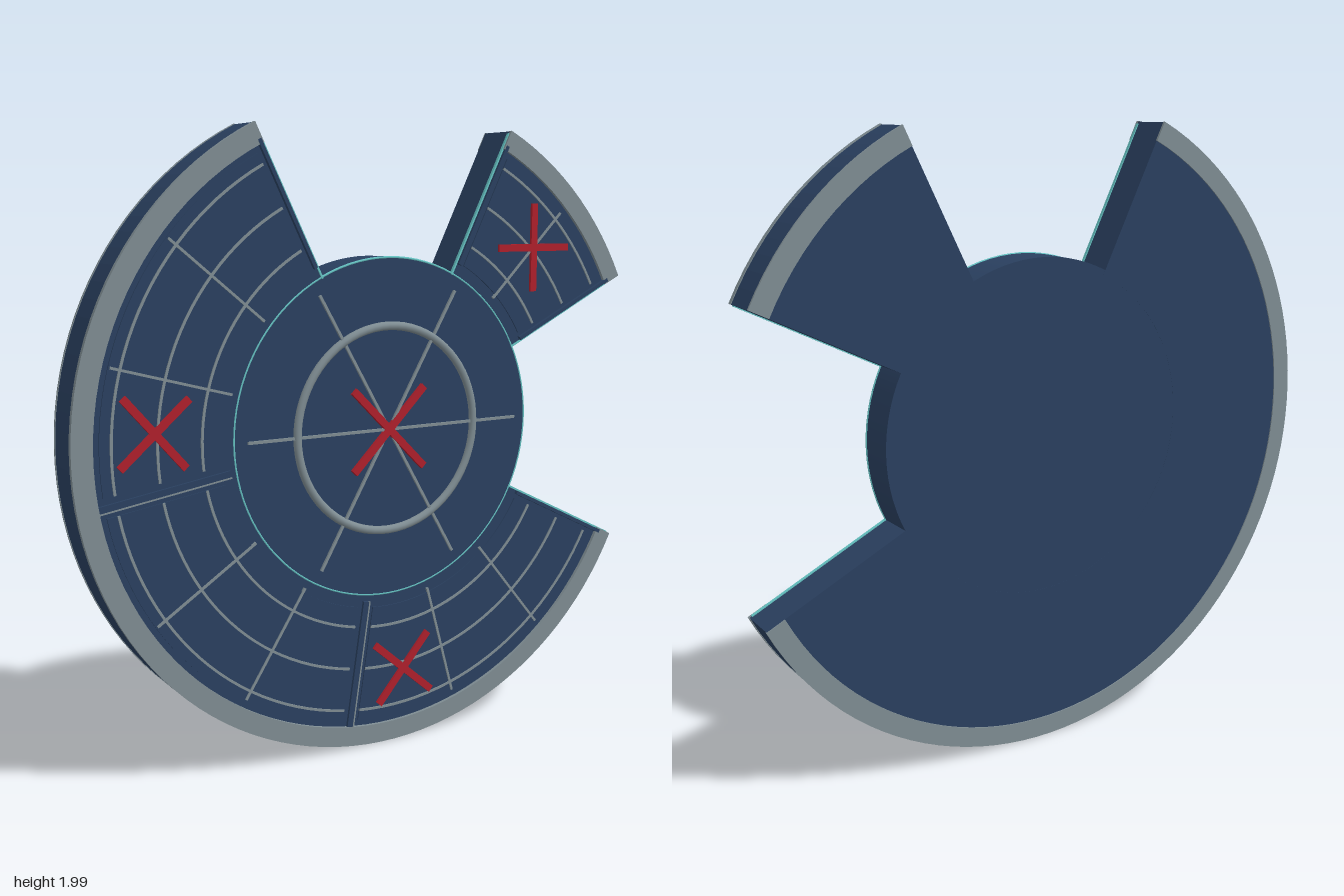
import * as THREE from 'three';

const DEG = Math.PI / 180;
const mat = (color) => new THREE.MeshStandardMaterial({ color });
const navy = mat(0x2a4060), grey = mat(0x7f8d93), red = mat(0xb0202c), teal = mat(0x66c4c4);

// Ring-sector outline between two radii and two angles; sides may be inset in parallel
function sectorShape(r0, r1, a0, a1, inset = 0) {
  const lo = (r) => a0 * DEG + Math.asin(inset / r);
  const hi = (r) => a1 * DEG - Math.asin(inset / r);
  const n = Math.max(8, Math.ceil((a1 - a0) / 3));
  const pts = [];
  for (let i = 0; i <= n; i++) {
    const a = lo(r1) + (hi(r1) - lo(r1)) * i / n;
    pts.push(new THREE.Vector2(r1 * Math.cos(a), r1 * Math.sin(a)));
  }
  for (let i = n; i >= 0; i--) {
    const a = lo(r0) + (hi(r0) - lo(r0)) * i / n;
    pts.push(new THREE.Vector2(r0 * Math.cos(a), r0 * Math.sin(a)));
  }
  return new THREE.Shape(pts);
}

function add(parent, name, geometry, material) {
  const mesh = new THREE.Mesh(geometry, material);
  mesh.name = name;
  parent.add(mesh);
  return mesh;
}

// Sector slab from z0 to z1
function slab(parent, name, material, z0, z1, ...outline) {
  const g = new THREE.ExtrudeGeometry(sectorShape(...outline), { depth: z1 - z0, bevelEnabled: false });
  add(parent, name, g.translate(0, 0, z0), material);
}

// Flat bar centred at polar position (r, angle), turned to its own direction
function bar(parent, name, material, r, angle, dir, length, width, z0, z1) {
  const m = add(parent, name, new THREE.BoxGeometry(length, width, z1 - z0), material);
  m.position.set(r * Math.cos(angle * DEG), r * Math.sin(angle * DEG), (z0 + z1) / 2);
  m.rotation.z = dir * DEG;
}

function cross(parent, r, angle, dir, length) {
  for (const turn of [45, -45]) bar(parent, 'crossMark', red, r, angle, dir + turn, length, 0.024, 0.055, 0.073);
}

// One wing section: inset panel with grid lines of arcs and radial bars
function panel(parent, a0, a1, cells) {
  const g = new THREE.Group();
  g.name = 'wingPanel';
  parent.add(g);
  slab(g, 'panelPlate', navy, 0.05, 0.064, 0.585, 0.965, a0, a1, 0.03);
  for (const r of [0.65, 0.79, 0.93])
    slab(g, 'gridArc', grey, 0.055, 0.068, r - 0.004, r + 0.004, a0, a1, 0.03);
  for (let i = 1; i < cells; i++) {
    const a = a0 + (a1 - a0) * i / cells;
    bar(g, 'gridSpoke', grey, 0.765, a, a, 0.39, 0.008, 0.055, 0.068);
  }
}

// Solid wing with a grey rim on both faces and bright trim along the cut sides
function wing(parent, a0, a1) {
  const g = new THREE.Group();
  g.name = 'wing';
  parent.add(g);
  slab(g, 'wingBody', navy, -0.072, 0.06, 0.53, 1.048, a0, a1);
  slab(g, 'frontRim', grey, 0.055, 0.071, 0.985, 1.05, a0, a1);
  slab(g, 'backRim', grey, -0.076, -0.068, 0.985, 1.05, a0, a1);
  for (const [a, side] of [[a0, 1], [a1, -1]]) {
    bar(g, 'sideTrim', teal, 0.79, a, a, 0.5, 0.006, 0.054, 0.064);
    bar(g, 'sideRail', navy, 0.79, a + side * 0.7, a, 0.42, 0.012, 0.055, 0.072);
  }
  return g;
}

export function createModel() {
  const root = new THREE.Group();
  const disc = new THREE.Group();
  disc.name = 'sectorDisc';
  disc.position.set(0.05, 1.052, 0);
  root.add(disc);

  // Hub
  const hubGeo = new THREE.CylinderGeometry(0.545, 0.545, 0.132, 96).rotateX(Math.PI / 2);
  add(disc, 'hub', hubGeo.translate(0, 0, -0.0055), navy);
  add(disc, 'hubTrim', new THREE.TorusGeometry(0.544, 0.004, 6, 96).translate(0, 0, 0.058), teal);
  add(disc, 'hubRing', new THREE.TorusGeometry(0.33, 0.014, 10, 72).translate(0, 0, 0.06), grey);
  for (const a of [0, 60, 120]) bar(disc, 'hubSpoke', grey, 0, 0, a, 1, 0.009, 0.055, 0.068);
  cross(disc, 0, 0, 0, 0.37);

  // Large wing made of three sections
  const large = wing(disc, 116.2, 333.8);
  const seams = [116.2, 188.8, 261.3, 333.8];
  for (let i = 0; i < 3; i++) panel(large, seams[i], seams[i + 1], 3);
  for (const a of [188.8, 261.3]) {
    bar(large, 'seamRail', navy, 0.775, a, a, 0.42, 0.02, 0.055, 0.069);
    bar(large, 'seamTrim', grey, 0.775, a + 0.9, a, 0.42, 0.005, 0.055, 0.07);
  }
  cross(large, 0.8, 176, 176, 0.29);
  cross(large, 0.81, 274, 274, 0.29);

  // Small wing
  const small = wing(disc, 26.2, 63.8);
  panel(small, 26.2, 63.8, 2);
  cross(small, 0.8, 45, 45, 0.29);

  return root;
}
